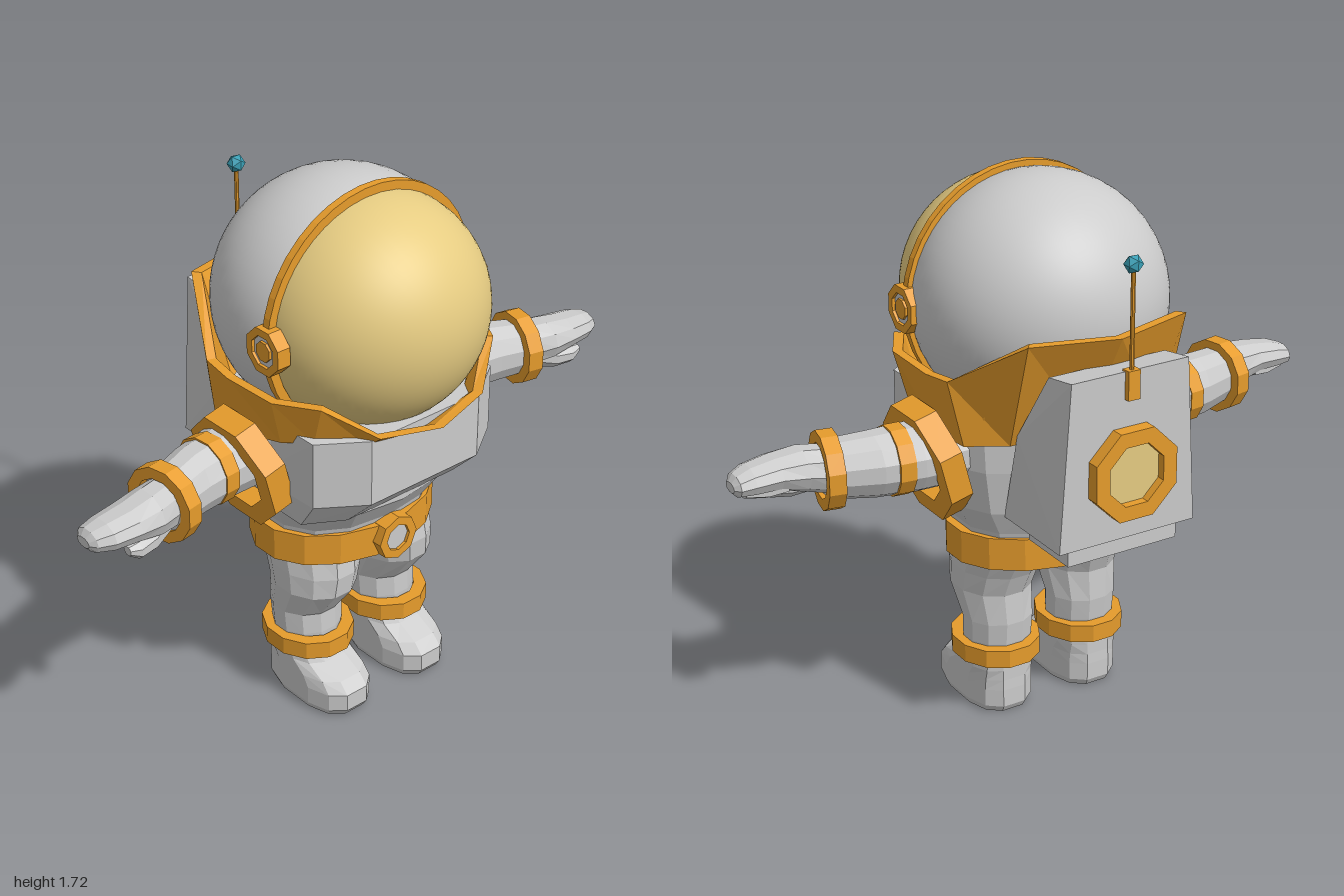
import * as THREE from 'three';
import { ConvexGeometry } from 'three/addons/geometries/ConvexGeometry.js';

const material = (color, flatShading = true, side = THREE.FrontSide) =>
  new THREE.MeshStandardMaterial({ color, flatShading, side });
const grey = material(0xcccccc);
const greySmooth = material(0xcccccc, false, THREE.DoubleSide);
const orange = material(0xe69c2c);
const orangeOpen = material(0xe69c2c, true, THREE.DoubleSide);
const gold = material(0xe6cc82, false, THREE.DoubleSide);
const teal = material(0x3a9fb5);

function add(parent, name, geometry, mat, x = 0, y = 0, z = 0) {
  const mesh = new THREE.Mesh(geometry, mat);
  mesh.name = name;
  mesh.position.set(x, y, z);
  parent.add(mesh);
  return mesh;
}

function buffer(pos, index) {
  const g = new THREE.BufferGeometry();
  g.setAttribute('position', new THREE.Float32BufferAttribute(pos, 3));
  g.setIndex(index);
  g.computeVertexNormals();
  return g;
}

// Capped skin over sections [y, centreX, centreZ, radiusX, radiusZ]; power < 1 squares them off
function loft(sections, n = 12, power = 1) {
  const pos = [], index = [];
  const bend = v => Math.sign(v) * Math.abs(v) ** power;
  for (const [y, cx, cz, rx, rz] of sections)
    for (let i = 0; i < n; i++) {
      const a = ((i + 0.5) / n) * Math.PI * 2;
      pos.push(cx + rx * bend(Math.cos(a)), y, cz + rz * bend(Math.sin(a)));
    }
  const last = sections.length - 1;
  for (let j = 0; j < last; j++)
    for (let i = 0; i < n; i++) {
      const a = j * n + i, b = j * n + (i + 1) % n;
      index.push(a, a + n, b, b, a + n, b + n);
    }
  for (let i = 1; i < n - 1; i++) {
    index.push(0, i, i + 1);
    index.push(last * n, last * n + i + 1, last * n + i);
  }
  return buffer(pos, index);
}

// Ring of rectangular section around the y axis
function band(inner, outer, height, n = 16) {
  const h = height / 2;
  const profile = [[inner, -h], [outer, -h], [outer, h], [inner, h], [inner, -h]];
  return new THREE.LatheGeometry(profile.map(p => new THREE.Vector2(...p)), n).rotateY(Math.PI / n);
}

const disc = (r, h, n = 8) => new THREE.CylinderGeometry(r, r, h, n).rotateY(Math.PI / n);
const hull = pts => new ConvexGeometry(pts.map(p => new THREE.Vector3(...p)));
const mirrorX = pts => pts.flatMap(([x, y, z]) => [[x, y, z], [-x, y, z]]);

function makeHelmet() {
  const g = new THREE.Group();
  g.name = 'helmet';
  const shell = new THREE.SphereGeometry(0.385, 48, 24, 0, Math.PI * 2, 1.254, Math.PI - 1.254);
  add(g, 'helmetShell', shell.rotateX(Math.PI / 2).scale(1.02, 1, 1), greySmooth, 0, 1.33, 0.03);
  const visor = new THREE.SphereGeometry(0.355, 48, 24, 0, Math.PI * 2, 0, 1.65);
  add(g, 'visor', visor.rotateX(Math.PI / 2).scale(1.03, 1, 1), gold, 0, 1.335, 0.145);
  add(g, 'visorRim', band(0.36, 0.388, 0.026, 40).rotateX(Math.PI / 2).scale(1.01, 1, 1), orange, 0, 1.33, 0.152);
  for (const s of [-1, 1]) {
    const dial = (name, geo, mat, x) =>
      add(g, name, geo.rotateZ(Math.PI / 2), mat, s * x, 1.325, 0.157);
    dial('earRing', band(0.05, 0.075, 0.045, 8), orange, 0.382);
    dial('earPlate', disc(0.055, 0.03), grey, 0.38);
    dial('earKnob', disc(0.032, 0.03), orange, 0.388);
  }
  return g;
}

// Flared collar: matching top and bottom edge points, front to back
function makeCollar() {
  const top = [[0, 1.065, 0.475], [0.2, 1.085, 0.43], [0.335, 1.185, 0.33], [0.41, 1.18, 0.2],
    [0.41, 1.175, 0], [0.4, 1.185, -0.11], [0.27, 1.34, -0.345], [0, 1.335, -0.415]];
  const low = [[0, 1.025, 0.4], [0.2, 1.035, 0.37], [0.32, 1.05, 0.28], [0.37, 1.03, 0.19],
    [0.375, 0.98, 0], [0.36, 0.98, -0.13], [0.25, 0.985, -0.21], [0, 0.995, -0.23]];
  const around = half => [...half, ...half.slice(1, -1).reverse().map(([x, y, z]) => [-x, y, z])];
  const t = around(top), b = around(low), n = t.length, pos = [], index = [];
  const inset = ([x, y, z]) => [x * 0.93, y, 0.03 + (z - 0.03) * 0.93];
  for (let i = 0; i < n; i++) pos.push(...t[i], ...b[i], ...inset(b[i]), ...inset(t[i]));
  for (let i = 0; i < n; i++)
    for (let k = 0; k < 4; k++) {
      const j = (i + 1) % n, l = (k + 1) % 4;
      const p = i * 4 + k, q = i * 4 + l, r = j * 4 + l, s = j * 4 + k;
      index.push(p, q, r, p, r, s);
    }
  return buffer(pos, index);
}

function makeTorso(root) {
  add(root, 'torso', loft([
    [0.6, 0, 0.03, 0.28, 0.21], [0.66, 0, 0.03, 0.29, 0.225], [0.74, 0, 0.045, 0.335, 0.265],
    [0.88, 0, 0.04, 0.36, 0.27], [1.06, 0, 0.04, 0.37, 0.27]], 14, 0.85), grey);
  add(root, 'chestPlate', hull(mirrorX([
    [0.21, 1.07, 0.405], [0.35, 1.07, 0.31], [0.35, 1.07, 0.05],
    [0.21, 0.855, 0.405], [0.35, 0.855, 0.31], [0.36, 0.855, 0.05],
    [0.21, 0.75, 0.3], [0.33, 0.75, 0.23], [0.33, 0.75, 0.05]])), grey);
  add(root, 'belt', band(0.25, 0.315, 0.105, 16).scale(1, 1, 0.76), orange, 0, 0.592, 0.03);
  add(root, 'pelvis', loft([[0.545, 0, 0.03, 0.27, 0.2], [0.62, 0, 0.03, 0.29, 0.22]], 16), grey);
  add(root, 'buckleRing', band(0.045, 0.074, 0.05, 8).rotateX(Math.PI / 2).rotateZ(Math.PI / 8), orange, 0, 0.593, 0.27);
  add(root, 'bucklePlate', disc(0.05, 0.04).rotateX(Math.PI / 2).rotateZ(Math.PI / 8), grey, 0, 0.593, 0.265);
}

// Left arm, built along local y and then laid along +x (local x points down)
function makeArm() {
  const g = new THREE.Group();
  g.name = 'arm';
  g.rotation.z = -Math.PI / 2;
  add(g, 'shoulderRing', band(0.125, 0.19, 0.075, 8), orange, -0.89, 0.39, 0.035).rotation.z = -0.25;
  add(g, 'sleeve', loft([
    [0.3, -0.92, 0.01, 0.11, 0.11], [0.46, -0.918, 0.015, 0.107, 0.108], [0.58, -0.915, 0.035, 0.102, 0.1],
    [0.71, -0.913, 0.075, 0.09, 0.09]], 12), grey);
  add(g, 'sleeveStripe', band(0.09, 0.109, 0.05, 12), orange, -0.917, 0.505, 0.022).rotation.x = 0.1;
  add(g, 'cuff', band(0.085, 0.121, 0.052, 12), orange, -0.912, 0.702, 0.073).rotation.x = 0.2;
  add(g, 'mitten', loft([
    [0.7, -0.915, 0.075, 0.075, 0.08], [0.78, -0.925, 0.1, 0.068, 0.086], [0.86, -0.93, 0.11, 0.052, 0.08],
    [0.94, -0.925, 0.108, 0.045, 0.07], [0.985, -0.92, 0.1, 0.034, 0.053], [1, -0.918, 0.098, 0.016, 0.03]], 10), grey);
  add(g, 'thumb', loft([
    [0.73, -0.89, 0.11, 0.045, 0.04], [0.8, -0.865, 0.135, 0.037, 0.038], [0.86, -0.862, 0.152, 0.03, 0.032],
    [0.895, -0.872, 0.157, 0.015, 0.018]], 8), grey);
  add(g, 'curledFinger', loft([
    [0.84, -0.895, 0.09, 0.02, 0.05], [0.9, -0.89, 0.1, 0.025, 0.05], [0.965, -0.895, 0.1, 0.018, 0.035]], 8), grey);
  return g;
}

function makeLeg() {
  const g = new THREE.Group();
  g.name = 'leg';
  add(g, 'trouserLeg', loft([
    [0.15, 0.155, 0.045, 0.1, 0.1], [0.24, 0.153, 0.04, 0.11, 0.11], [0.31, 0.153, 0.035, 0.113, 0.112],
    [0.41, 0.155, 0.075, 0.125, 0.147], [0.48, 0.148, 0.065, 0.133, 0.165], [0.58, 0.14, 0.03, 0.138, 0.185]], 12), grey);
  add(g, 'ankleRing', band(0.1, 0.138, 0.058, 12).scale(1, 1, 1.12), orange, 0.155, 0.205, 0.047);
  add(g, 'boot', loft([
    [0, 0.157, 0.107, 0.1, 0.17], [0.022, 0.157, 0.108, 0.109, 0.184], [0.08, 0.157, 0.108, 0.109, 0.184],
    [0.115, 0.157, 0.092, 0.108, 0.166], [0.15, 0.157, 0.055, 0.107, 0.128],
    [0.19, 0.157, 0.042, 0.106, 0.114]], 12, 0.75), grey);
  return g;
}

function makeBackpack() {
  const g = new THREE.Group();
  g.name = 'backpack';
  add(g, 'pack', hull(mirrorX([
    [0.235, 0.73, -0.455], [0.235, 0.73, -0.15], [0.235, 1.02, -0.225],
    [0.2, 1.255, -0.46], [0.2, 1.235, -0.34]])), grey);
  add(g, 'packBase', new THREE.BoxGeometry(0.38, 0.08, 0.215), grey, 0, 0.71, -0.323);
  add(g, 'hatchRing', band(0.1, 0.15, 0.06, 8).rotateX(Math.PI / 2), orange, 0, 0.945, -0.47);
  add(g, 'hatchGlass', disc(0.11, 0.03).rotateX(Math.PI / 2), material(0xe6cc82), 0, 0.945, -0.458);
  add(g, 'antennaBase', new THREE.BoxGeometry(0.04, 0.09, 0.032), orange, 0, 1.215, -0.462);
  add(g, 'antennaRod', new THREE.CylinderGeometry(0.007, 0.007, 0.32, 8), orange, 0, 1.41, -0.462);
  add(g, 'antennaTip', new THREE.IcosahedronGeometry(0.029, 0), teal, 0, 1.572, -0.462);
  return g;
}

export function createModel() {
  const root = new THREE.Group();
  root.name = 'astronaut';
  root.add(makeHelmet());
  add(root, 'collar', makeCollar(), orangeOpen);
  makeTorso(root);
  // Limbs are built for the left and mirrored to the right
  for (const [side, s] of [['left', 1], ['right', -1]]) {
    const limbs = new THREE.Group();
    limbs.name = side + 'Limbs';
    limbs.scale.x = s;
    limbs.add(makeArm(), makeLeg());
    root.add(limbs);
  }
  root.add(makeBackpack());
  return root;
}
